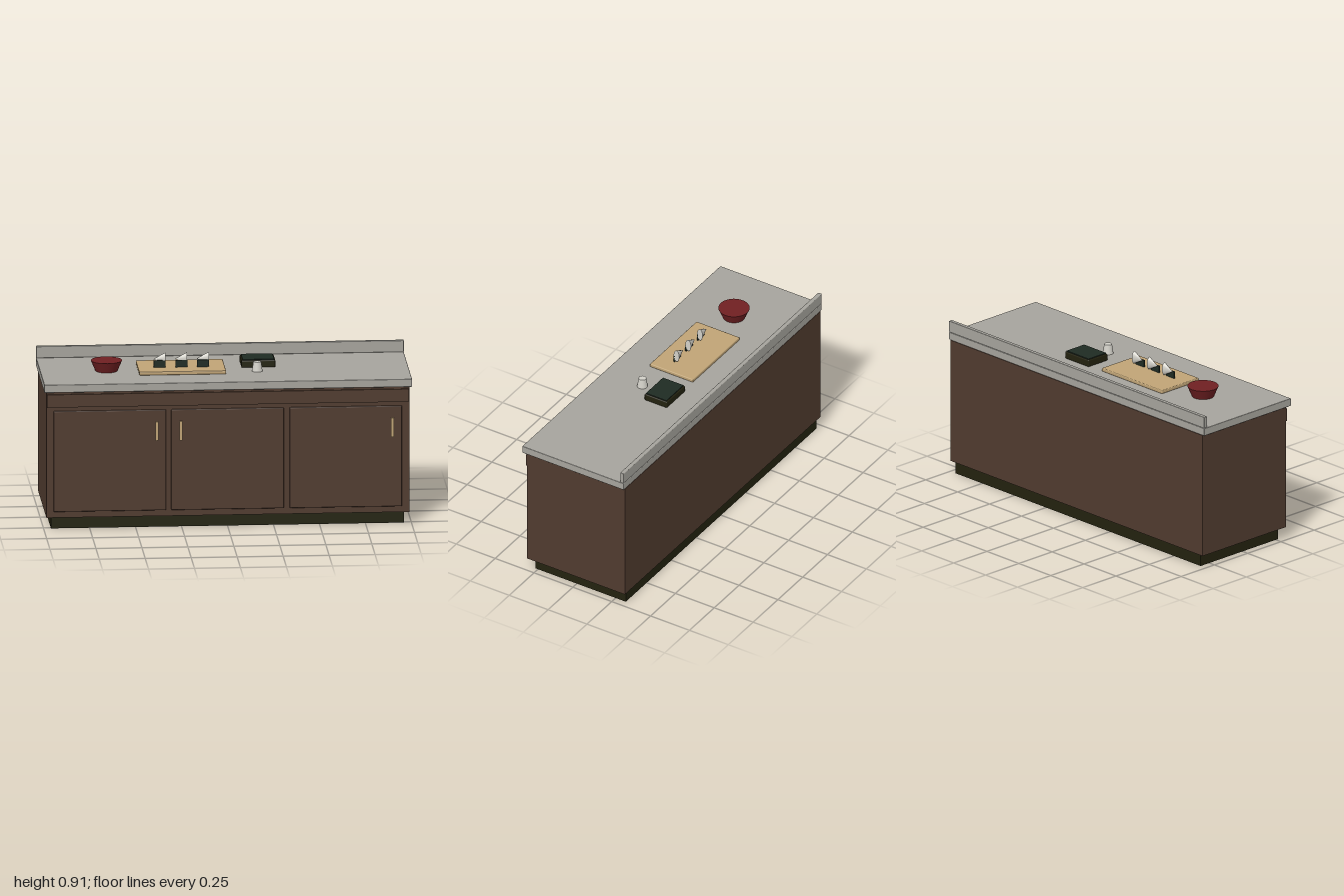
import * as THREE from 'three';
import { RoundedBoxGeometry } from 'three/addons/geometries/RoundedBoxGeometry.js';

function material(name, color) {
  const m = new THREE.MeshStandardMaterial({ color });
  m.name = name;
  return m;
}

export function createModel() {
  const group = new THREE.Group();
  const wood = material('dark wood', 0x503b2f);
  const stone = material('grey stone', 0xa6a49d);
  const olive = material('dark olive', 0x23220f);
  const green = material('dark green', 0x1f2b23);
  const red = material('deep red', 0x702022);
  const maple = material('pale wood', 0xc0a476);
  const cream = material('off white', 0xd2d0c8);

  function add(name, geometry, mat, x = 0, y = 0, z = 0) {
    const mesh = new THREE.Mesh(geometry, mat);
    mesh.name = name;
    mesh.position.set(x, y, z);
    group.add(mesh);
    return mesh;
  }

  // Box given by its limits on each axis, with optional rounded edges
  function box(name, mat, [x0, x1], [y0, y1], [z0, z1], radius = 0) {
    const size = [x1 - x0, y1 - y0, z1 - z0];
    const geometry = radius
      ? new RoundedBoxGeometry(...size, 2, radius)
      : new THREE.BoxGeometry(...size);
    return add(name, geometry, mat, (x0 + x1) / 2, (y0 + y1) / 2, (z0 + z1) / 2);
  }

  // Cabinet, plinth and worktop
  box('plinth', olive, [-0.96, 0.96], [0, 0.07], [-0.315, 0.265]);
  box('cabinet', wood, [-0.987, 0.987], [0.068, 0.77], [-0.326, 0.302]);
  box('topRail', wood, [-0.985, 0.985], [0.684, 0.755], [0.3, 0.311]);
  box('worktop', stone, [-1, 1], [0.77, 0.814], [-0.326, 0.327], 0.004);
  box('backsplash', stone, [-1, 1], [0.814, 0.879], [-0.326, 0.303 * -1], 0.004);

  // Doors, each with its handle
  for (const [x, handleX] of [[-0.643, -0.387], [-0.003, -0.257], [0.64, 0.893]]) {
    box('door', wood, [x - 0.306, x + 0.306], [0.102, 0.663], [0.301, 0.314], 0.005);
    box('handle', maple, [handleX - 0.008, handleX + 0.008], [0.493, 0.598], [0.313, 0.324]);
  }

  // Bowl with a filled top
  add('bowl', new THREE.CylinderGeometry(0.085, 0.06, 0.058, 32), red, -0.64, 0.843, 0.01);

  // Chopping board carrying three knives
  box('choppingBoard', maple, [-0.47, 0.002], [0.814, 0.834], [-0.135, 0.142], 0.005);
  for (const x of [-0.353, -0.235, -0.117]) {
    const blade = add('knifeBlade', new THREE.ConeGeometry(0.036, 0.066, 24), cream, x - 0.001, 0.877, 0.026);
    blade.rotation.z = Math.PI / 2; // point towards -x
    blade.scale.z = 0.5;
    box('knifeHandle', green, [x - 0.032, x + 0.032], [0.834, 0.873], [0.037, 0.045]);
  }

  // Storage box with inset lid
  box('storageBox', olive, [0.095, 0.28], [0.814, 0.854], [-0.145, 0], 0.006);
  box('storageLid', green, [0.102, 0.273], [0.85, 0.859], [-0.138, -0.007]);

  // Tapered cup
  add('cup', new THREE.CylinderGeometry(0.021, 0.029, 0.053, 24), cream, 0.175, 0.841, 0.079);

  return group;
}
